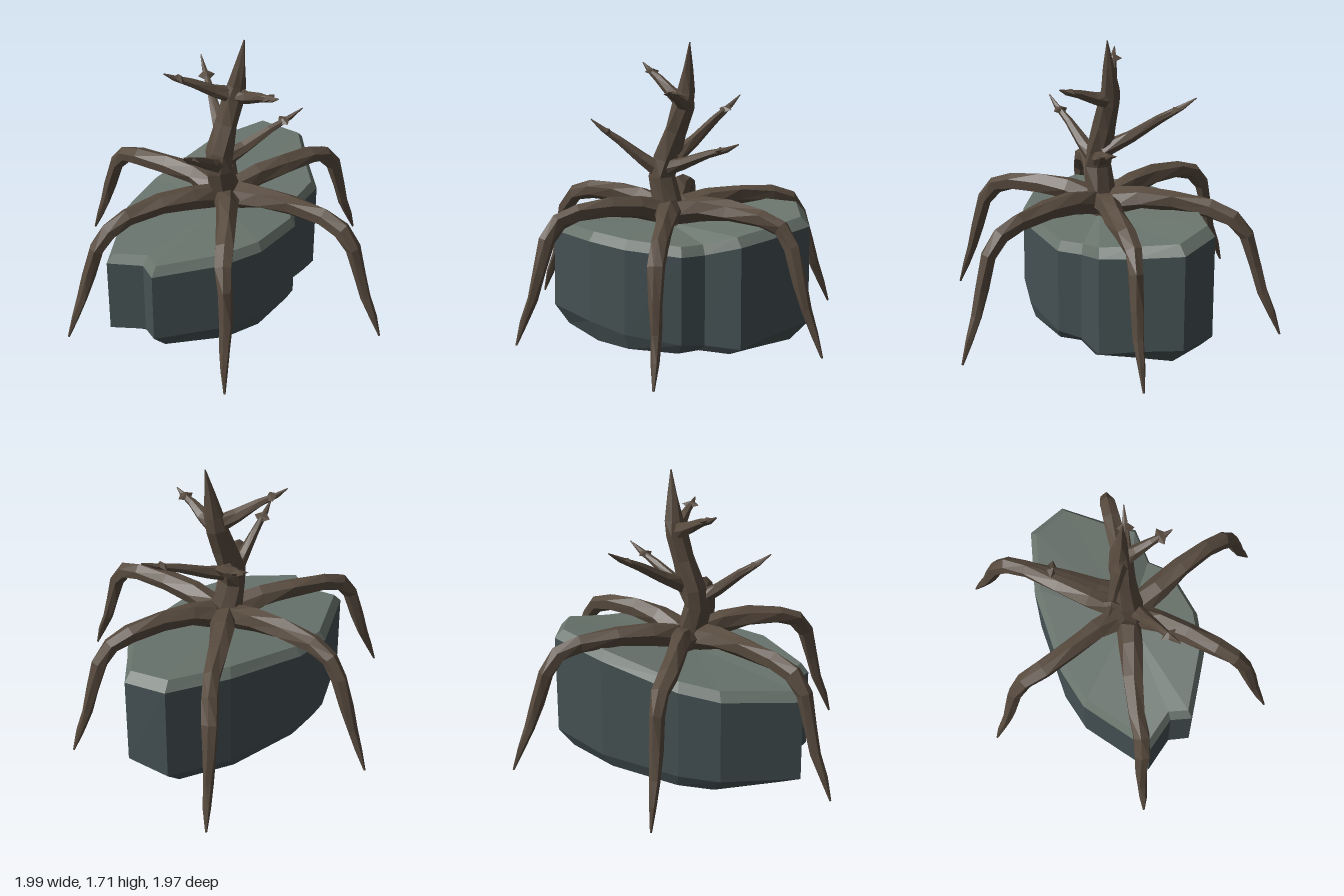
import * as THREE from 'three';

const V = (x, y, z) => new THREE.Vector3(x, y, z);

// Flat-shaded geometry from a list of triangles of Vector3 corners
function facets(corners) {
  const g = new THREE.BufferGeometry().setFromPoints(corners);
  g.computeVertexNormals();
  return g;
}

// Quads between two closed rings of equal length
function band(lower, upper, out, flip) {
  lower.forEach((a, i) => {
    const n = (i + 1) % lower.length, b = lower[n], c = upper[n], d = upper[i];
    if (flip) out.push(a, d, b, b, d, c);
    else out.push(a, b, d, b, c, d);
  });
}

// Gnarled limb: faceted tube along a path with its own radius at each point
function limb(path, radii, sides, seed) {
  const u = V(0, 0, 0), v = V(0, 0, 0);
  let last = null;
  const rings = path.map((p, i) => {
    const t = path[Math.min(i + 1, path.length - 1)].clone().sub(path[Math.max(i - 1, 0)]).normalize();
    if (!last) u.crossVectors(Math.abs(t.y) > 0.8 ? V(1, 0, 0) : V(0, 1, 0), t).normalize();
    else u.applyQuaternion(new THREE.Quaternion().setFromUnitVectors(last, t));
    v.crossVectors(t, u);
    last = t;
    return Array.from({ length: sides }, (_, k) => {
      const a = (k / sides) * Math.PI * 2 + i * 0.12;
      const r = radii[i] * (1 + 0.1 * Math.sin(k * 2.7 + i * 1.9 + seed * 3.1));
      return p.clone().addScaledVector(u, Math.cos(a) * r).addScaledVector(v, Math.sin(a) * r);
    });
  });
  const out = [];
  for (let i = 0; i + 1 < rings.length; i++) band(rings[i], rings[i + 1], out, false);
  return facets(out);
}

export function createModel() {
  const model = new THREE.Group();
  const wood = new THREE.MeshStandardMaterial({ color: 0x574a3e });
  const stone = new THREE.MeshStandardMaterial({ color: 0x455153 });
  const stoneTop = new THREE.MeshStandardMaterial({ color: 0x69746d });
  wood.name = 'wood';
  stone.name = 'stone';
  stoneTop.name = 'stoneTop';
  for (const m of [wood, stone, stoneTop]) m.flatShading = true;

  const add = (parent, name, geometry, material) => {
    const mesh = new THREE.Mesh(geometry, material);
    mesh.name = name;
    parent.add(mesh);
    return mesh;
  };

  // Boulder: outline as [x, z, top height, lower edge height]
  const outline = [
    [-0.15, -0.49, 0.67, 0.08], [0.35, -0.47, 0.75, 0.08], [0.72, -0.36, 0.77, 0.1],
    [0.82, -0.12, 0.74, 0.12], [0.66, 0.09, 0.7, 0.08], [0.54, 0.26, 0.68, 0.04],
    [0.33, 0.27, 0.62, 0.04], [0.23, 0.37, 0.62, 0.06], [-0.1, 0.41, 0.64, 0.09],
    [-0.35, 0.35, 0.65, 0.12], [-0.69, 0.13, 0.63, 0.11], [-0.65, 0.01, 0.62, 0.08],
    [-0.77, -0.17, 0.6, 0.05], [-0.39, -0.44, 0.64, 0.08],
  ];
  const ring = (f) => outline.map((o) => V(...f(...o)));
  const bottom = ring((x, z) => [x * 0.87, 0, z * 0.94]);
  const lowRim = ring((x, z, h, l) => [x, l, z]);
  const highRim = ring((x, z, h) => [x * 0.99, h - 0.055, z * 0.99]);
  const topRim = ring((x, z, h) => [x * 0.93, h, z * 0.92]);
  const sides = [], cap = [];
  band(bottom, lowRim, sides, true);
  band(lowRim, highRim, sides, true);
  band(highRim, topRim, cap, true);
  outline.forEach((_, i) => {
    const n = (i + 1) % outline.length;
    sides.push(V(0, 0, 0), bottom[i], bottom[n]);
    cap.push(V(0, 0.66, 0), topRim[n], topRim[i]);
  });
  const boulder = new THREE.Group();
  boulder.name = 'boulder';
  add(boulder, 'boulderSides', facets(sides), stone);
  add(boulder, 'boulderTop', facets(cap), stoneTop);
  model.add(boulder);

  // Roots arching over the boulder: each runs from the trunk to its tip
  const rootTips = [[-0.23, -0.98], [0.77, -0.78], [0.99, 0.21], [0.32, 0.98], [-0.65, 0.67], [-0.99, -0.29]];
  const arch = [
    [0, 0.7, 0.06], [0.09, 0.74, 0.075], [0.22, 0.775, 0.068], [0.4, 0.785, 0.06], [0.6, 0.77, 0.054],
    [0.72, 0.73, 0.05], [0.795, 0.63, 0.045], [0.85, 0.45, 0.038], [0.895, 0.3, 0.03], [0.95, 0.17, 0.022], [1, 0.04, 0.006],
  ];
  const roots = new THREE.Group();
  roots.name = 'roots';
  rootTips.forEach(([x, z], n) => {
    const path = arch.map(([s, y], i) => {
      const bend = 0.012 * Math.sin(i * 1.3 + n * 2) * Math.sin(s * Math.PI);
      return V(0.02 + (x - 0.02) * s - z * bend, y, z * s + x * bend);
    });
    add(roots, 'root', limb(path, arch.map((a) => a[2]), 6, n), wood);
  });
  model.add(roots);

  // Leaning trunk tapering to a spike
  const tree = new THREE.Group();
  tree.name = 'tree';
  const trunk = [
    [0.02, 0.64, 0, 0.07], [0, 0.76, 0, 0.09], [-0.04, 0.93, 0, 0.078], [-0.02, 1.03, -0.01, 0.078],
    [0.04, 1.2, -0.015, 0.066], [0.09, 1.35, -0.015, 0.064], [0.105, 1.43, -0.01, 0.052],
    [0.12, 1.56, 0.005, 0.03], [0.135, 1.71, 0.02, 0.003],
  ];
  add(tree, 'trunk', limb(trunk.map(([x, y, z]) => V(x, y, z)), trunk.map((p) => p[3]), 7, 1), wood);

  // Branches: start, tip, start radius; each carries a flat thorn near its end
  const branches = [
    [V(-0.03, 0.95, 0), V(-0.43, 1.26, 0.13), 0.05],
    [V(-0.04, 0.97, 0), V(0.48, 1.18, 0.16), 0.05],
    [V(0.03, 1.04, -0.01), V(0.27, 1.36, -0.47), 0.05],
    [V(0.09, 1.36, -0.01), V(-0.25, 1.56, -0.21), 0.05],
    [V(0.1, 1.36, -0.01), V(0.12, 1.465, 0.3), 0.05],
  ];
  branches.forEach(([from, to, r], n) => {
    const stops = [0, 0.3, 0.6, 0.85, 1];
    const path = stops.map((s, i) => from.clone().lerp(to, s).add(V(0, i % 2 ? -0.008 : 0, 0)));
    add(tree, 'branch', limb(path, [r, r * 0.74, r * 0.5, r * 0.32, 0.003], 6, n + 2), wood);

    const along = to.clone().sub(from).normalize();
    const across = V(0, 1, 0).cross(along).normalize();
    const thorn = add(tree, 'thorn', new THREE.OctahedronGeometry(1), wood);
    thorn.scale.set(0.052, 0.02, 0.04);
    thorn.quaternion.setFromRotationMatrix(
      new THREE.Matrix4().makeBasis(across, along.clone().cross(across), along));
    thorn.position.copy(from).lerp(to, 0.77);
  });
  model.add(tree);
  return model;
}
